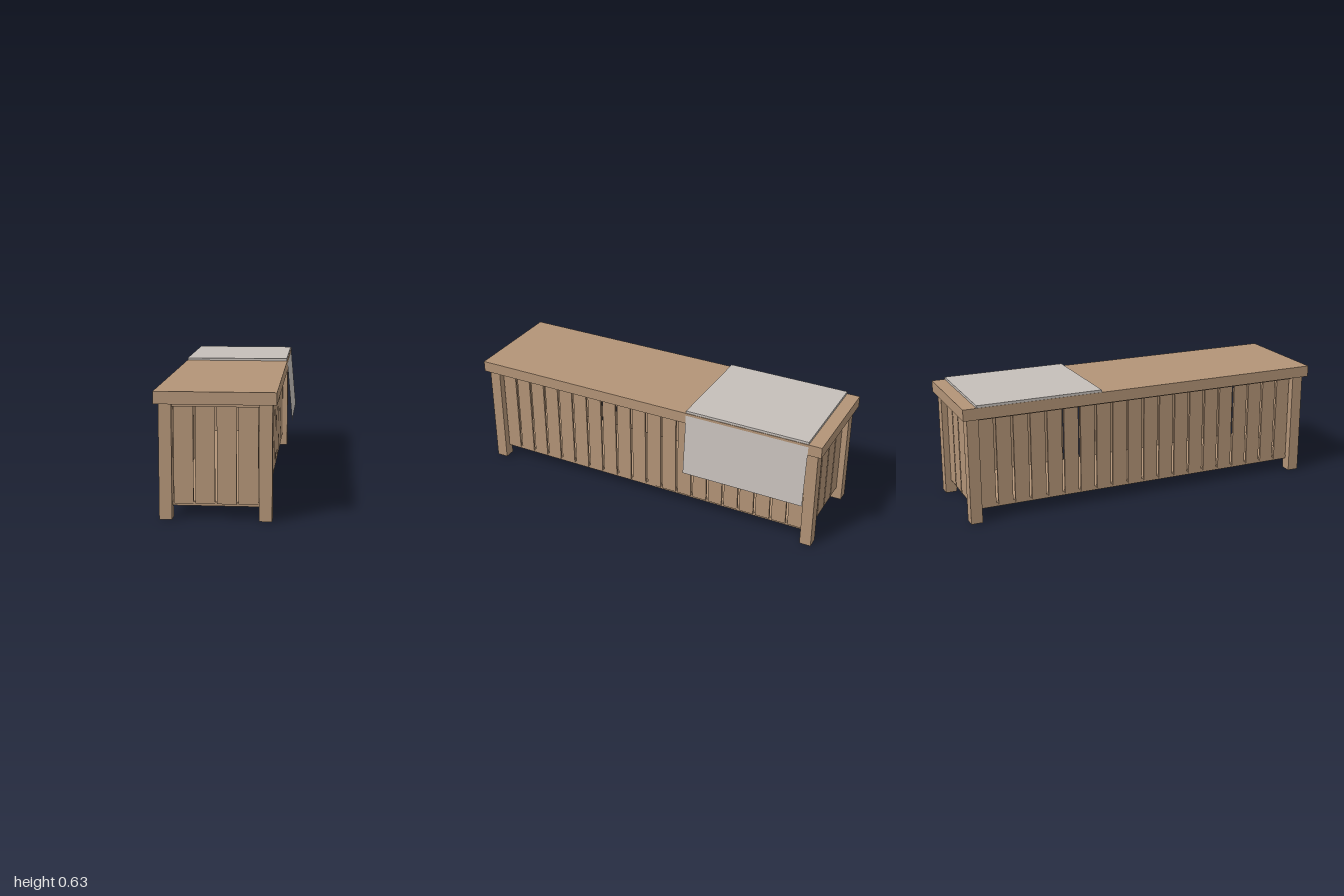
import * as THREE from 'three';

export function createModel() {
  const model = new THREE.Group();
  model.name = 'slattedBench';

  const wood = new THREE.MeshStandardMaterial({ color: 0xb39477 });
  wood.name = 'wood';
  const cloth = new THREE.MeshStandardMaterial({ color: 0xc5bfba, side: THREE.DoubleSide });
  cloth.name = 'greyCloth';

  // Box given by its minimum and maximum on each axis
  function box(name, x0, x1, y0, y1, z0, z1, material = wood) {
    const mesh = new THREE.Mesh(new THREE.BoxGeometry(x1 - x0, y1 - y0, z1 - z0), material);
    mesh.position.set((x0 + x1) / 2, (y0 + y1) / 2, (z0 + z1) / 2);
    mesh.name = name;
    model.add(mesh);
    return mesh;
  }

  const cx = -0.016;                    // bench centre; the cloth hangs over on +x
  const legX = 0.268, legZ = 0.977;     // outer faces of the legs
  const legSize = 0.061;
  const topY = 0.558;
  const slatX = legX - 0.03, slatZ = legZ - 0.03; // outer faces of the slats
  const slatDepth = 0.012;

  // Table top
  box('top', cx - 0.289, cx + 0.289, topY, 0.618, -1, 1);

  // Legs
  for (const sx of [-1, 1]) {
    for (const sz of [-1, 1]) {
      const x = cx + sx * (legX - legSize / 2);
      const z = sz * (legZ - legSize / 2);
      const h = legSize / 2;
      box('leg', x - h, x + h, 0, topY, z - h, z + h);
    }
  }

  // Floor panel behind the slats
  const fx = slatX - 0.006, fz = slatZ - 0.006;
  box('floor', cx - fx, cx + fx, 0.062, 0.082, -fz, fz);

  // Upper rails just under the top, standing slightly proud of the slats
  for (const s of [-1, 1]) {
    const x = cx + s * (slatX - 0.004), z = s * (slatZ - 0.004);
    box('sideRail', x - 0.012, x + 0.012, 0.541, topY, -0.93, 0.93);
    box('endRail', cx - 0.22, cx + 0.22, 0.541, topY, z - 0.012, z + 0.012);
  }

  // End slats
  const endPitch = 0.103, endWidth = 0.094;
  for (const s of [-1, 1]) {
    const z = s * (slatZ - slatDepth / 2);
    for (let i = 0; i < 4; i++) {
      const x = cx + (i - 1.5) * endPitch;
      box('endSlat', x - endWidth / 2, x + endWidth / 2, 0.073, 0.542,
        z - slatDepth / 2, z + slatDepth / 2);
    }
  }

  // Side slats
  const count = 20, sidePitch = 0.0917, sideWidth = 0.079;
  for (const s of [-1, 1]) {
    const x = cx + s * (slatX - slatDepth / 2);
    for (let i = 0; i < count; i++) {
      const z = (i - (count - 1) / 2) * sidePitch;
      box('sideSlat', x - slatDepth / 2, x + slatDepth / 2, 0.073, 0.542,
        z - sideWidth / 2, z + sideWidth / 2);
    }
  }

  // Cloth lying on the top
  box('clothTop', -0.303, 0.27, 0.618, 0.631, -0.93, -0.26, cloth);

  // Cloth flap hanging outward over the +x edge
  const drop = 0.335, flare = 0.03;
  const flap = new THREE.Mesh(
    new THREE.PlaneGeometry(0.67, Math.hypot(drop, flare)).rotateY(Math.PI / 2), cloth);
  flap.rotation.z = Math.atan2(flare, drop);
  flap.position.set(0.274 + flare / 2, 0.605 - drop / 2, -0.595);
  flap.name = 'clothFlap';
  model.add(flap);

  return model;
}
